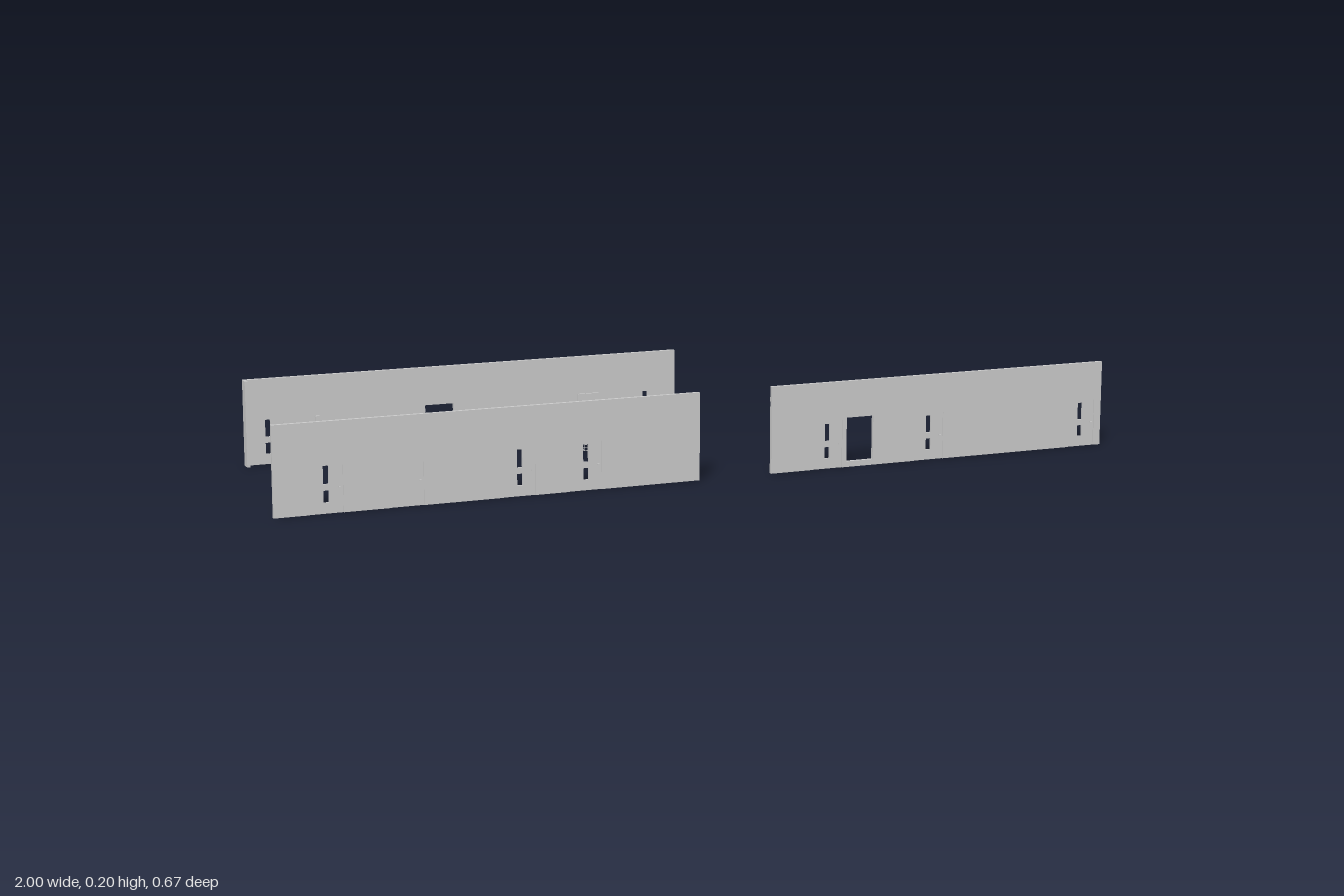
import * as THREE from 'three';

const mat = new THREE.MeshStandardMaterial({ color: 0xcccccc, side: THREE.DoubleSide });
const DOOR_H = 0.11;

function add(parent, name, geo, x = 0, y = 0, z = 0) {
  const m = new THREE.Mesh(geo, mat);
  m.name = name;
  m.position.set(x, y, z);
  parent.add(m);
  return m;
}

// Box given by its two corners
function block(parent, name, x0, x1, y0, y1, z0, z1) {
  return add(parent, name, new THREE.BoxGeometry(x1 - x0, y1 - y0, z1 - z0),
    (x0 + x1) / 2, (y0 + y1) / 2, (z0 + z1) / 2);
}

function rect(x0, x1, y0, y1, Type = THREE.Shape) {
  return new Type([[x0, y0], [x1, y0], [x1, y1], [x0, y1]].map(p => new THREE.Vector2(...p)));
}

const extrude = (shape, depth) =>
  new THREE.ExtrudeGeometry(shape, { depth, bevelEnabled: false, curveSegments: 6 });

// Door leaf from x0 to x1, with two small windows around wx when given
function leafGeometry(x0, x1, wx, depth) {
  const s = rect(x0, x1, 0, DOOR_H);
  if (wx !== undefined) {
    for (const [a, b] of [[0.024, 0.05], [0.064, 0.104]])
      s.holes.push(rect(wx - 0.006, wx + 0.006, a, b, THREE.Path));
  }
  return extrude(s, depth);
}

// Wall notched for its doors; doors are [x0, x1, windowX, isOpen] from left to right
function wall(parent, name, x0, x1, z, depth, doors, holes = []) {
  const g = new THREE.Group();
  g.name = name;
  const pts = [[x0, 0]];
  for (const [a, b] of doors) pts.push([a, 0], [a, DOOR_H], [b, DOOR_H], [b, 0]);
  pts.push([x1, 0], [x1, 0.2], [x0, 0.2]);
  const s = new THREE.Shape(pts.map(p => new THREE.Vector2(...p)));
  for (const h of holes) s.holes.push(rect(...h, THREE.Path));
  add(g, 'wallPanel', extrude(s, depth), 0, 0, z);
  for (const [a, b, wx, open] of doors) {
    if (open) continue;
    add(g, 'door', leafGeometry(a, b, wx, depth * 0.5), 0, 0, z + depth * 0.25);
    for (const zz of [z + depth * 0.1, z + depth * 0.9])
      add(g, 'doorHandle', new THREE.BoxGeometry(0.005, 0.003, 0.003), b - 0.007, 0.056, zz);
  }
  parent.add(g);
  return g;
}

// Sled-base chair whose back is towards +x
function chair() {
  const g = new THREE.Group();
  g.name = 'chair';
  const v = (x, y, z) => new THREE.Vector3(x, y, z);
  for (const z of [-0.015, 0.015]) {
    const path = new THREE.CurvePath();
    const p = [v(0, 0.022, z), v(-0.03, 0.022, z), v(-0.028, 0.002, z), v(0, 0.002, z), v(0, 0.022, z)];
    for (let i = 0; i < 4; i++) path.add(new THREE.LineCurve3(p[i], p[i + 1]));
    add(g, 'chairFrame', new THREE.TubeGeometry(path, 24, 0.0009, 5));
  }
  for (const x of [-0.028, 0]) block(g, 'crossBar', x - 0.001, x + 0.001, 0.001, 0.003, -0.015, 0.015);
  // seat and curved back as one shell
  const outline = new THREE.Shape();
  outline.moveTo(-0.032, 0.022);
  outline.lineTo(-0.004, 0.022);
  outline.quadraticCurveTo(0.002, 0.023, 0.003, 0.03);
  outline.lineTo(0.006, 0.053);
  outline.lineTo(0.004, 0.053);
  outline.lineTo(0.001, 0.032);
  outline.quadraticCurveTo(0, 0.025, -0.005, 0.0245);
  outline.lineTo(-0.032, 0.0245);
  add(g, 'chairShell', extrude(outline, 0.033), 0, 0, -0.0165);
  return g;
}

function roundedTop(w, d, r, t) {
  const x = w / 2, y = d / 2, s = new THREE.Shape();
  s.moveTo(-x + r, -y);
  s.absarc(x - r, -y + r, r, -Math.PI / 2, 0);
  s.absarc(x - r, y - r, r, 0, Math.PI / 2);
  s.absarc(-x + r, y - r, r, Math.PI / 2, Math.PI);
  s.absarc(-x + r, -y + r, r, Math.PI, Math.PI * 1.5);
  return extrude(s, t).rotateX(-Math.PI / 2);
}

export function createModel() {
  const root = new THREE.Group();
  root.name = 'corridorOffice';

  // Front walls
  const right = wall(root, 'frontRightWall', -1, -0.03, 0.327, 0.008, [
    [-0.922, -0.848, -0.885], [-0.745, -0.67], [-0.49, -0.418, -0.453], [-0.338, -0.264, -0.3]]);
  const left = wall(root, 'frontLeftWall', 0.145, 1, 0.327, 0.008, [
    [0.248, 0.322, 0.285], [0.506, 0.58, 0.543], [0.908, 0.982, 0.945]], [[0.333, 0.4, 0.013, 0.115]]);

  // Shallow trim and fittings on the inner faces
  block(right, 'wallTrim', -0.51, -0.03, 0.115, 0.17, 0.3262, 0.3275);
  for (const x of [-0.19, -0.11]) block(right, 'panelRib', x - 0.002, x + 0.002, 0, 0.115, 0.3262, 0.3275);
  block(right, 'panelRib', -0.512, -0.508, 0.035, 0.17, 0.3262, 0.3275);
  block(right, 'lowCabinet', -0.585, -0.52, 0.007, 0.036, 0.3235, 0.3275);
  block(left, 'wallTrim', 0.145, 0.46, 0.165, 0.175, 0.3262, 0.3275);
  block(left, 'wallBoard', 0.418, 0.482, 0.067, 0.103, 0.3215, 0.3275);

  // Rear wall with an open doorway and a return at its end
  const rear = wall(root, 'rearWall', -0.94, 0.12, -0.192, 0.009, [
    [-0.922, -0.848, -0.885], [-0.51, -0.44, 0, true], [0.006, 0.08, 0.043]]);
  block(rear, 'wallReturn', -0.94, -0.933, 0, 0.2, -0.185, -0.165);
  block(rear, 'doorFrame', -0.775, -0.765, 0, 0.105, -0.184, -0.177);
  block(rear, 'floorCabinet', -0.69, -0.64, 0, 0.04, -0.184, -0.167);

  // Door swung open behind the rear wall
  const swing = new THREE.Group();
  swing.name = 'openDoor';
  add(swing, 'doorLeaf', leafGeometry(0, 0.062, 0.046, 0.002));
  block(swing, 'doorHandle', 0.053, 0.058, 0.055, 0.058, -0.003, 0.005);
  swing.position.set(-0.51, 0, -0.19);
  swing.rotation.y = Math.PI / 2;
  root.add(swing);

  // Small room behind the rear wall
  block(root, 'backRoom', -0.8, -0.655, 0, 0.137, -0.335, -0.19);
  for (const x of [-0.8, -0.655]) block(root, 'roomHandle', x - 0.002, x + 0.002, 0.056, 0.06, -0.328, -0.324);

  // Wall screen on its bracket
  block(root, 'screen', -0.137, -0.083, 0.08, 0.113, -0.167, -0.162);
  block(root, 'screenArm', -0.114, -0.106, 0.092, 0.1, -0.184, -0.166);
  block(root, 'screenPlate', -0.122, -0.098, 0.086, 0.106, -0.184, -0.18);

  // Meeting table
  add(root, 'tableTop', roundedTop(0.104, 0.234, 0.01, 0.003), -0.11, 0.048, -0.034);
  block(root, 'tableLeg', -0.135, -0.085, 0, 0.049, 0.039, 0.049);
  block(root, 'tableWallLink', -0.115, -0.105, 0.048, 0.051, -0.184, -0.145);

  // Three chairs on each long side
  for (const z of [0.011, -0.056, -0.118]) {
    for (const side of [1, -1]) {
      const c = chair();
      c.position.set(-0.11 + side * 0.055, 0, z);
      if (side < 0) c.rotation.y = Math.PI;
      root.add(c);
    }
  }
  return root;
}
